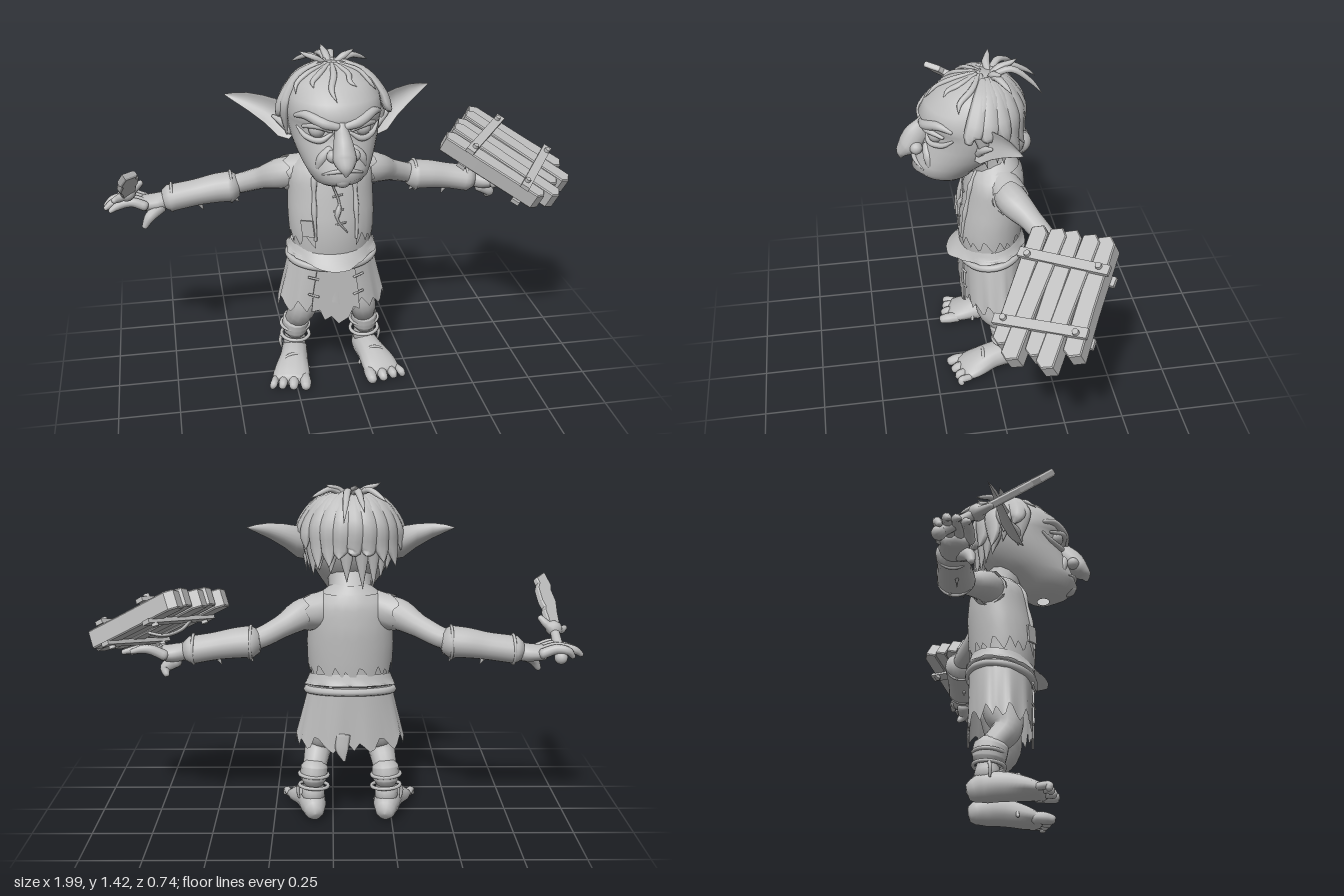
import * as THREE from 'three';

const V = (x, y, z) => new THREE.Vector3(x, y, z);
const stone = new THREE.MeshStandardMaterial({ color: 0xbfbfbf, side: THREE.DoubleSide });
stone.name = 'stoneGrey';

function add(parent, name, geo) {
  const m = new THREE.Mesh(geo, stone);
  m.name = name;
  parent.add(m);
  return m;
}

// grid of points fn(row, col) turned into a smooth surface; wrap closes each row
function surface(rows, cols, wrap, fn) {
  const pos = [], idx = [], last = wrap ? cols : cols - 1;
  for (let i = 0; i < rows; i++) for (let j = 0; j < cols; j++) pos.push(...fn(i, j));
  for (let i = 0; i < rows - 1; i++) for (let j = 0; j < last; j++) {
    const a = i * cols + j, d = i * cols + (j + 1) % cols, b = a + cols, c = d + cols;
    idx.push(a, b, c, a, c, d);
  }
  const g = new THREE.BufferGeometry();
  g.setAttribute('position', new THREE.Float32BufferAttribute(pos, 3));
  g.setIndex(idx);
  g.computeVertexNormals();
  return g;
}

// tapered elliptical tube: pts are [x,y,z], radii are [across, along up]
function limb(pts, radii, up = V(0, 1, 0), sides = 14, steps = 5) {
  const path = new THREE.CatmullRomCurve3(pts.map(p => V(...p)));
  const size = new THREE.CatmullRomCurve3(radii.map(r => Array.isArray(r) ? V(r[0], r[1], 0) : V(r, r, 0)));
  const n = (pts.length - 1) * steps, rings = [];
  for (let i = 0; i <= n; i++) {
    const c = path.getPoint(i / n), t = path.getTangent(i / n), r = size.getPoint(i / n);
    const side = up.clone().cross(t).normalize(), nor = side.clone().cross(t);
    rings.push({ c, t, side, nor, w: Math.max(r.x, 0.001), h: Math.max(r.y, 0.001) });
  }
  const cap = (q, d) => ({ ...q, c: q.c.clone().addScaledVector(q.t, d * Math.min(q.w, q.h) * 0.45), w: q.w * 0.7, h: q.h * 0.7 });
  const pole = (q, d) => ({ ...q, c: q.c.clone().addScaledVector(q.t, d * Math.min(q.w, q.h) * 0.6), w: 1e-5, h: 1e-5 });
  const all = [pole(rings[0], -1), cap(rings[0], -1), ...rings, cap(rings[n], 1), pole(rings[n], 1)];
  return surface(all.length, sides, true, (i, j) => {
    const q = all[i], a = j / sides * Math.PI * 2;
    return q.c.clone().addScaledVector(q.side, q.w * Math.cos(a)).addScaledVector(q.nor, q.h * Math.sin(a)).toArray();
  });
}

// body profiles: height, half width, front z, back z
const HEAD = [[.93, .03, .18, .13], [.943, .07, .215, .09], [.965, .098, .266, .05], [.995, .117, .3, .02], [1.03, .137, .288, -.03],
  [1.07, .155, .272, -.07], [1.12, .172, .25, -.1], [1.17, .182, .235, -.12], [1.2, .186, .248, -.13], [1.23, .187, .264, -.13],
  [1.28, .18, .238, -.125], [1.33, .153, .183, -.105], [1.365, .108, .12, -.07], [1.385, .052, .06, -.03], [1.39, .001, .02, .018]];
const TORSO = [[.5, .165, .1, -.15], [.6, .16, .113, -.14], [.68, .167, .12, -.148], [.76, .17, .11, -.153], [.84, .167, .095, -.157],
  [.92, .165, .08, -.152], [.96, .145, .066, -.145], [.99, .11, .045, -.13], [1.02, .07, .03, -.11]];
function at(profile, y, a, grow = 1) {
  let k = 0;
  while (k < profile.length - 2 && profile[k + 1][0] < y) k++;
  const p = profile[k], q = profile[k + 1], f = THREE.MathUtils.clamp((y - p[0]) / (q[0] - p[0]), 0, 1);
  const [w, zf, zb] = [1, 2, 3].map(i => p[i] + (q[i] - p[i]) * f);
  return [grow * w * Math.cos(a), y, (zf + zb) / 2 + grow * (zf - zb) / 2 * Math.sin(a)];
}
const loft = prof => surface(prof.length, 40, true, (i, j) => at(prof, prof[i][0], j / 40 * Math.PI * 2));
const face = (x, y, out = 0) => {
  const p = at(HEAD, y, Math.acos(THREE.MathUtils.clamp(x / at(HEAD, y, 0)[0], -1, 1)));
  return [x, y, p[2] + out];
};
// irregular torn edge
const tooth = j => [0, .012, .028, .045, .05, .012, .004, .022, .036, .008, .03, .05, .02][j % 13];

function buildHead(g) {
  add(g, 'head', loft(HEAD));
  add(g, 'neck', limb([[0, .93, -.05], [0, 1.0, -.01], [0, 1.08, .04]], [.1, .09, .1], V(0, 0, 1)));
  add(g, 'nose', limb([[0, 1.22, .225], [0, 1.175, .245], [0, 1.13, .28], [0, 1.09, .31], [0, 1.06, .335], [0, 1.035, .342]],
    [[.02, .025], [.028, .04], [.04, .05], [.046, .043], [.03, .027], [.008, .008]], V(0, 0, 1)));
  add(g, 'mouth', limb([face(-.08, 1.015), face(-.04, 1.03, .002), face(0, 1.035, .004), face(.04, 1.03, .002), face(.08, 1.015)],
    [.003, .008, .01, .008, .003], undefined, 8));
  add(g, 'chin', new THREE.SphereGeometry(.034, 16, 12)).position.set(0, .992, .262);
  for (const s of [1, -1]) {
    add(g, 'nostril', new THREE.SphereGeometry(.026, 14, 10)).position.set(s * .04, 1.094, .282);
    add(g, 'eye', new THREE.SphereGeometry(.034, 16, 12)).position.set(...face(s * .088, 1.182, -.013));
    add(g, 'brow', limb([face(s * .015, 1.2, .006), face(s * .07, 1.215, .002), face(s * .13, 1.238, -.004), face(s * .165, 1.225, -.004)], [.015, .021, .017, .008]));
    add(g, 'upperLid', limb([face(s * .04, 1.182, .008), face(s * .088, 1.203, .016), face(s * .14, 1.19, .006)], [.008, .012, .007], undefined, 8));
    add(g, 'eyeBag', limb([face(s * .035, 1.17, .004), face(s * .08, 1.143, .008), face(s * .13, 1.15, .004), face(s * .158, 1.18, 0)], [.006, .012, .011, .005], undefined, 10));
    add(g, 'cheek', limb([face(s * .045, 1.11, -.008), face(s * .075, 1.075, -.01), face(s * .09, 1.035, -.014)], [.016, .02, .012]));
    // ear: cupped sections that narrow to a point
    const L = [[.15, 1.155, .035, .03], [.18, 1.16, .03, .062], [.22, 1.178, .01, .07], [.27, 1.207, -.015, .052], [.33, 1.232, -.04, .034], [.38, 1.245, -.062, .017], [.418, 1.252, -.08, .001]];
    add(g, 'ear', surface(L.length, 24, true, (i, j) => {
      const [x, y, z, h] = L[i], a = -s * j / 24 * Math.PI * 2, c = Math.cos(a), w = Math.sin(a);
      const dy = h * c, cup = -.55 * h * (1 - c * c);
      return [s * x, y + dy, z + .25 * h - .35 * dy + cup + .2 * h * w];
    }));
    add(g, 'innerEar', limb([[s * .17, 1.125, .05], [s * .195, 1.155, .04], [s * .235, 1.18, .01]], [.016, .017, .007], V(0, 0, 1), 8));
  }
}

function buildHair(g) {
  const lock = (name, pts, radii, out) => add(g, name, limb(pts, radii, out, 8, 4));
  for (let layer = 0; layer < 2; layer++) for (let k = 0; k < 12; k++) {
    const f = k / 11 + layer * .03, a = Math.PI * (1.0 + f * .98), wob = Math.sin(k * 7.3 + layer * 3), lo = 1.045 + layer * .08 + .035 * wob;
    const side = Math.abs(Math.cos(a)) > .85 ? .05 : 0;
    const tip = at(HEAD, 1.17, a + wob * .1, 1.0 + layer * .18);
    tip[1] = lo + side; tip[2] -= .012;
    lock('hairLock', [at(HEAD, 1.383, a), at(HEAD, 1.345, a, 1.03), at(HEAD, 1.26, a, 1.05 + layer * .04), at(HEAD, 1.165 + side, a + wob * .05, 1.05 + layer * .09), tip],
      [[.012, .012], [.03, .015], [.038, .019], [.032, .018], [.001, .001]], V(Math.cos(a), .8, Math.sin(a)));
  }
  // thin strands over the forehead and temples
  for (const [a, y] of [[.05, 1.24], [.45, 1.3], [1.1, 1.33], [1.65, 1.29], [2.2, 1.33], [2.7, 1.3], [3.08, 1.23]])
    lock('frontStrand', [at(HEAD, 1.388, a), at(HEAD, 1.365, a, 1.02), at(HEAD, (y + 1.36) / 2, a + .1, 1.03), at(HEAD, y, a, 1.03)],
      [[.008, .006], [.013, .009], [.011, .008], [.001, .001]], V(Math.cos(a), .8, Math.sin(a)));
  // loose tufts
  for (const [x, y, z] of [[-.02, 1.425, -.13], [.1, 1.42, -.05], [-.12, 1.425, -.03], [.03, 1.29, -.225], [-.14, 1.36, -.13], [.16, 1.37, -.08], [-.05, 1.33, -.21]])
    lock('tuft', [[x * .15, 1.37, -.02], [x * .5, 1.4, z * .45], [x * .8, (y + 1.4) / 2, z * .8], [x, y, z]],
      [[.012, .012], [.016, .012], [.011, .009], [.001, .001]], V(.1, 1, .05));
}

function buildClothes(g) {
  add(g, 'torso', loft(TORSO));
  // open vest with torn hem
  add(g, 'vest', surface(12, 66, false, (i, j) => {
    const a = Math.PI / 2 + .5 + j / 65 * (Math.PI * 2 - 1), lo = .63 + tooth(j) * 1.1;
    return at(TORSO, lo + (.985 - lo) * i / 11, a, 1.06);
  }));
  for (const s of [1, -1]) {
    add(g, 'vestEdge', limb([.67, .76, .86, .94, .985].map(y => at(TORSO, y, Math.PI / 2 - s * .5, 1.065)), [.007, .008, .008, .008, .006], V(0, 0, 1), 8));
    add(g, 'armholeRag', surface(3, 26, true, (i, j) => {
      const a = s * j / 26 * Math.PI * 2, r = .08 - i * .003;
      return [s * (.11 + i * .027 + (i === 2 ? tooth(j) * .6 : 0)), .912 - i * .004 + r * Math.cos(a), -.055 - i * .012 + r * Math.sin(a)];
    }));
  }
  // stitched scar and vest patch
  add(g, 'scar', limb([[-.01, .9, .093], [.015, .82, .103], [.005, .76, .113], [.045, .7, .118]], [.004, .005, .005, .003], V(0, 0, 1), 6));
  for (const [x, y] of [[.01, .85], [.012, .79], [.02, .735]])
    add(g, 'stitch', limb([[x - .02, y, at(TORSO, y, 1.5)[2] + .001], [x + .02, y + .008, at(TORSO, y, 1.5)[2] + .001]], [.004, .004], undefined, 6));
  const patch = add(g, 'patch', new THREE.BoxGeometry(.055, .07, .008));
  patch.position.set(-.115, .72, .1);
  patch.rotation.set(0, -.6, .12);
  // skirt flaring to a torn hem
  add(g, 'skirt', surface(8, 65, true, (i, j) => {
    const a = j / 65 * Math.PI * 2, lo = .318 + tooth(j) * 1.2, f = 1 - i / 7;
    const w = .172 + .06 * f, z = .13 + .006 * f * Math.sin(a * 9);
    return [w * Math.cos(a), lo + (.6 - lo) * (1 - f), -.026 + z * Math.sin(a)];
  }));
  const flap = new THREE.Shape([[-.075, .56], [.075, .56], [.095, .42], [.1, .335], [.075, .35], [.055, .3], [.01, .272], [-.02, .31], [-.05, .295], [-.07, .345], [-.105, .34], [-.095, .44]].map(p => new THREE.Vector2(...p)));
  add(g, 'frontFlap', new THREE.ExtrudeGeometry(flap, { depth: .008, bevelEnabled: false })).position.z = .1;
  add(g, 'backTatter', limb([[.03, .4, -.152], [.035, .34, -.155], [.025, .285, -.154]], [[.03, .006], [.028, .006], [.006, .004]], V(0, 0, 1), 8));
  for (const s of [1, -1]) for (const y of [.49, .41])
    add(g, 'flapStitch', limb([[s * .075, y, .11], [s * .115, y + .01, .1]], [.005, .005], undefined, 6));
  // tilted belts
  for (const [y, k, r] of [[.562, 1.03, .016], [.594, 1, .011]]) {
    const ring = Array.from({ length: 24 }, (_, j) => {
      const a = j / 24 * Math.PI * 2;
      return V(.175 * k * Math.cos(a), y - .022 * Math.sin(a), -.022 + .13 * k * Math.sin(a));
    });
    add(g, 'belt', new THREE.TubeGeometry(new THREE.CatmullRomCurve3(ring, true), 72, r, 8, true));
  }
  // torn waist cloth whose front folds outward
  add(g, 'waistRag', surface(4, 52, true, (i, j) => {
    const a = j / 52 * Math.PI * 2, out = (3 - i) / 3, k = .97 + out * .1 + (i ? 0 : tooth(j) * 1.2), front = Math.max(0, Math.sin(a)) ** 6 * out;
    return [.175 * k * Math.cos(a), .588 + i * .015 - .024 * Math.sin(a) - .018 * front, -.022 + .132 * k * Math.sin(a) + .05 * front];
  }));
}

function buildLegs(g) {
  for (const s of [1, -1]) {
    add(g, 'leg', limb([[s * .085, .46, -.03], [s * .11, .38, -.015], [s * .132, .305, -.0], [s * .15, .22, -.06], [s * .157, .1, -.078]],
      [.085, .078, .06, .05, .05], V(0, 0, 1)));
    add(g, 'ankleWrap', limb([[s * .154, .17, -.07], [s * .153, .2, -.066], [s * .151, .228, -.06]], [[.054, .065], [.058, .069], [.057, .068]], V(0, 0, 1)));
    for (const y of [.145, .195]) {
      const band = add(g, 'ankleBand', new THREE.TorusGeometry(.061, .008, 8, 28));
      band.position.set(s * .154, y, -.07);
      band.rotation.set(Math.PI / 2 + .08, s * .06, 0);
    }
    add(g, 'bandTail', limb([[s * .215, .15, -.07], [s * .222, .12, -.065], [s * .218, .085, -.066]], [.007, .008, .005], V(0, 0, 1), 6));
    add(g, 'foot', limb([[s * .15, .05, -.13], [s * .157, .062, -.08], [s * .172, .06, .0], [s * .192, .043, .08], [s * .203, .03, .13]],
      [[.042, .045], [.056, .06], [.062, .056], [.078, .042], [.078, .027]]));
    add(g, 'footStrap', limb([[s * .112, .03, .045], [s * .14, .085, .04], [s * .182, .104, .04], [s * .225, .08, .045], [s * .248, .03, .05]], [.007, .007, .007, .007, .007], V(0, 0, 1), 8));
    [-.058, -.012, .03, .066].forEach((x, k) => {
      const r = .025 - k * .003, end = .185 - k * .012;
      add(g, 'toe', limb([[s * (.2 + x), .032, .11], [s * (.206 + x * 1.1), .031, .15], [s * (.21 + x * 1.12), r, end]], [r * .95, r, r * .8], undefined, 10));
    });
  }
}

function buildArms(g) {
  for (const s of [1, -1]) {
    const q = s > 0 ? -.02 : 0;
    add(g, 'arm', limb([[s * .1, .915, -.06], [s * .19, .9, -.085], [s * .28, .86, -.145], [s * .38, .82, -.195], [s * .52, .8, -.2], [s * .67, .775, -.195]],
      [.06, .065, .047, .042, .042, .036]));
    add(g, 'armCuff', limb([[s * .395, .812, -.197], [s * .46, .807, -.2], [s * .55, .793, -.2], [s * (.66 + q), .777, -.196]], [[.074, .064], [.071, .061], [.064, .055], [.068, .056]], undefined, 18));
    for (const [x, r] of [[.4, .066], [.65 + q, .059]]) {
      const rim = add(g, 'cuffRim', new THREE.TorusGeometry(r, .006, 8, 24));
      rim.position.set(s * x, .858 - .12 * x, -.2);
      rim.rotation.set(0, Math.PI / 2, s * -.13);
    }
    for (const [x, y, z] of [[.37, .75, -.17], [.39, .735, -.22], [.52, .715, -.19], [.36, .865, -.17]])
      add(g, 'cuffTatter', limb([[s * (x + .06), .795, z], [s * (x + .02), (y + .79) / 2, z], [s * x, y, z]], [[.03, .03], [.016, .01], [.001, .001]], V(0, 0, 1), 8));
    add(g, 'palm', limb([[s * .65, .775, -.195], [s * .71, .765, -.195], [s * (.775 + q), .765, -.19]], [[.036, .034], [.055, .036], [.055, .03]]));
    // fingers: splayed on the knife side, flat under the planks on the other
    for (let k = 0; k < 4; k++) {
      const z = -.238 + k * .033, len = [.1, .14, .14, .12][k];
      const pts = s < 0
        ? [[-.76, .77, z], [-.815, .79, z - .004], [-.78 - len * .8, .785 - k * .004, z - .01], [-.785 - len, .758, z]]
        : [[.74, .765, z], [.79, .79 - k * .006, z - .006], [.77 + len * .55, .795 - k * .008, z - .012], [.77 + len, .785 - k * .01, z - .015]];
      add(g, 'finger', limb(pts, [.021, .02, .017, .01], undefined, 10));
    }
    const d = s > 0 ? -.03 : 0;
    add(g, 'thumb', limb([[s * .7, .75 + d * .5, -.17 + d], [s * .745, .72 + d * .5, -.14 + d * 2], [s * (.77 + d), .68, -.13 + d * 3]], [.028, .023, .012], V(0, 0, 1), 10));
  }
}

// group whose own x, y, z axes follow the given directions
function framed(name, pos, x, y) {
  const g = new THREE.Group(), X = x.normalize(), Z = X.clone().cross(y).normalize();
  g.name = name;
  g.quaternion.setFromRotationMatrix(new THREE.Matrix4().makeBasis(X, Z.clone().cross(X), Z));
  g.position.copy(pos);
  return g;
}

function buildKnife() {
  const g = framed('knife', V(-.9, .845, -.11), V(.85, .41, -.32), V(.05, .56, .83));
  const outline = [[-.024, 0], [.026, 0], [.034, .08], [.028, .1], [.04, .13], [.044, .2], [.03, .235], [.038, .26], [-.012, .315], [-.034, .25], [-.026, .22], [-.038, .16], [-.028, .08]];
  const blade = new THREE.ExtrudeGeometry(new THREE.Shape(outline.map(p => new THREE.Vector2(...p))), { depth: .016, bevelThickness: .006, bevelSize: .004, bevelSegments: 1 });
  add(g, 'blade', blade).position.z = -.008;
  add(g, 'guard', limb([[-.066, .03, 0], [-.03, .002, 0], [.03, .002, 0], [.066, .03, 0]], [.012, .018, .018, .012], V(0, 0, 1), 10));
  add(g, 'handle', new THREE.CylinderGeometry(.018, .022, .16, 12)).position.y = -.075;
  add(g, 'pommel', new THREE.SphereGeometry(.027, 14, 10)).position.y = -.16;
  return g;
}

function buildShield() {
  const g = framed('plankShield', V(.72, .882, -.132), V(.34, -.21, .21), V(.3, .87, .385));
  const plank = [[-.02, .46, .03], [.015, .52, -.02], [-.008, .49, .02], [.012, .52, -.03], [-.015, .47, .02]];
  plank.forEach(([x, len, tilt], k) => {
    const h = len / 2, w = .031;
    const shape = new THREE.Shape([[-h, -w], [-h * .3, -w * 1.05], [h - .02, -w], [h, -w * .2], [h - .012, w], [h * .2, w * .9], [-h + .015, w], [-h - .012, w * .3]].map(p => new THREE.Vector2(...p)));
    const m = add(g, 'plank', new THREE.ExtrudeGeometry(shape, { depth: .066, bevelThickness: .005, bevelSize: .004, bevelSegments: 1 }));
    m.rotation.set(-Math.PI / 2, 0, tilt);
    m.position.set(x, -.034 + (k % 2) * .008, (k - 2) * .067);
  });
  for (const x of [-.13, .13]) for (const y of [.046, -.044]) {
    const bar = add(g, 'batten', new THREE.BoxGeometry(.038, .018, .36));
    bar.position.set(x, y, 0);
    bar.rotation.y = x * .3;
    for (const z of [-.14, .14]) add(g, 'bolt', new THREE.CylinderGeometry(.012, .014, .03, 8)).position.set(x, y * 1.15, z);
  }
  add(g, 'gripStrap', limb([[-.13, -.05, .06], [-.1, -.075, .03], [-.05, -.08, -.02], [.0, -.05, -.05]], [[.018, .007], [.018, .007], [.018, .007], [.018, .007]], undefined, 8));
  return g;
}

export function createModel() {
  const model = new THREE.Group(), body = new THREE.Group();
  model.name = 'goblin';
  body.name = 'body';
  body.position.x = -.072;
  [buildHead, buildHair, buildClothes, buildLegs, buildArms].forEach(build => build(body));
  model.add(body, buildKnife(), buildShield());
  return model;
}
